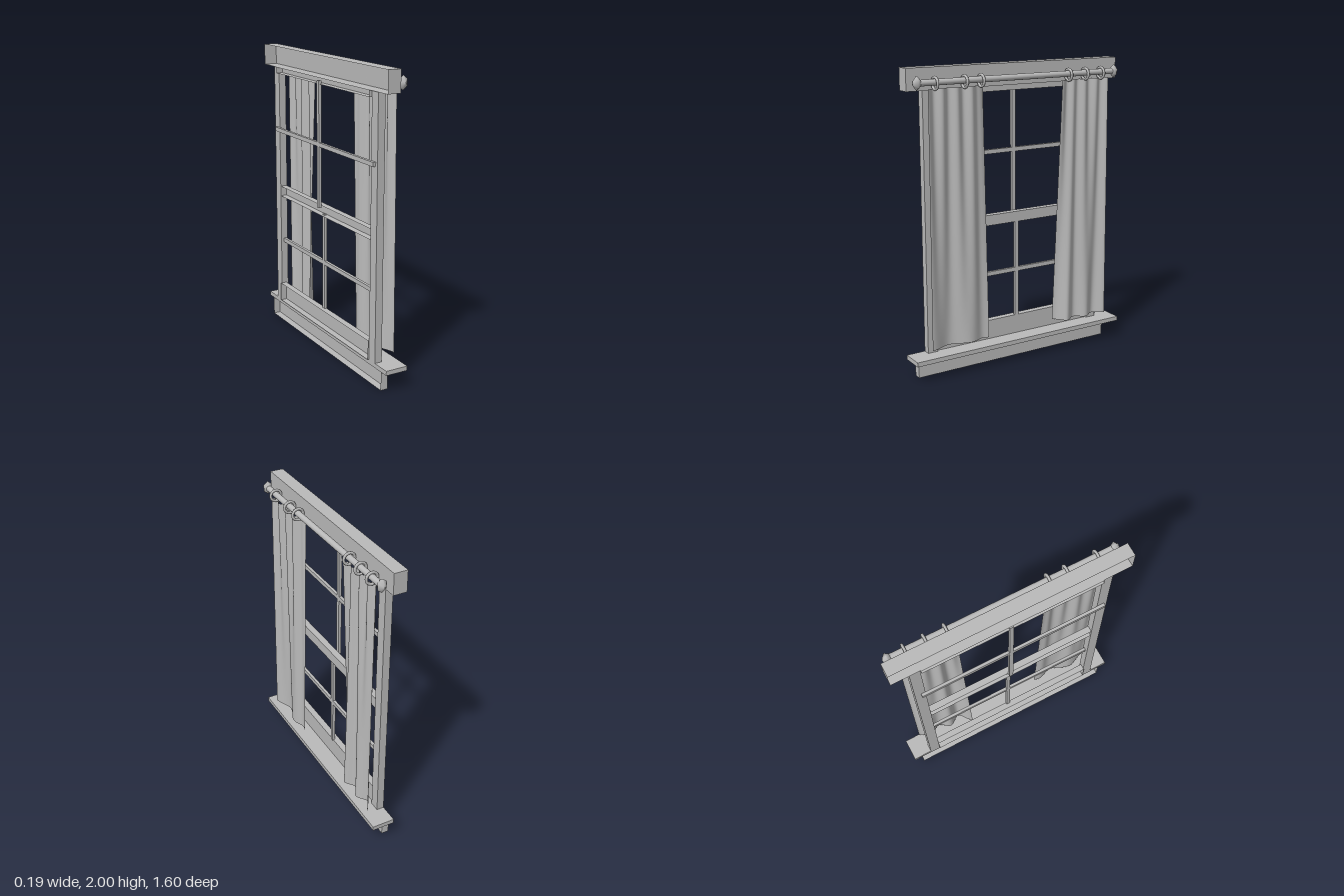
import * as THREE from 'three';

export function createModel() {
  const model = new THREE.Group();
  model.name = 'curtainedWindow';
  const grey = new THREE.MeshStandardMaterial({ color: 0xbababa, side: THREE.DoubleSide });
  grey.name = 'plain grey';

  const add = (name, geometry) => {
    const mesh = new THREE.Mesh(geometry, grey);
    mesh.name = name;
    model.add(mesh);
    return mesh;
  };

  // Box given by its limits; openBack leaves out the face towards -x
  const box = (name, [x0, x1], [y0, y1], [z0, z1], openBack = false) => {
    const g = new THREE.BoxGeometry(x1 - x0, y1 - y0, z1 - z0);
    if (openBack) {
      const index = Array.from(g.index.array);
      index.splice(6, 6);
      g.setIndex(index);
      g.clearGroups();
    }
    g.translate((x0 + x1) / 2, (y0 + y1) / 2, (z0 + z1) / 2);
    return add(name, g);
  };

  // Frame
  box('header', [-0.09, 0], [1.86, 2], [-0.79, 0.79], true);
  box('sill', [-0.075, 0.08], [0.125, 0.155], [-0.8, 0.8]);
  box('apron', [-0.075, -0.025], [0, 0.125], [-0.74, 0.74], true);
  box('leftJamb', [-0.075, -0.025], [0.155, 1.86], [0.6, 0.67]);
  box('rightJamb', [-0.075, -0.025], [0.155, 1.86], [-0.67, -0.6]);

  // Upper sash, set further back
  box('upperTopRail', [-0.095, -0.05], [1.82, 1.86], [-0.6, 0.6], true);
  box('upperCrossBar', [-0.095, -0.075], [1.412, 1.44], [-0.63, 0.65]);
  box('upperUprightBar', [-0.095, -0.075], [1, 1.84], [-0.031, -0.004]);

  // Lower sash
  box('meetingRail', [-0.075, -0.03], [0.945, 1.015], [-0.6, 0.6], true);
  box('lowerCrossBar', [-0.055, -0.035], [0.598, 0.626], [-0.6, 0.6]);
  box('lowerUprightBar', [-0.055, -0.035], [0.28, 0.95], [-0.031, -0.004]);
  box('bottomRail', [-0.085, -0.04], [0.155, 0.285], [-0.6, 0.6], true);

  // Curtain rod with flattened, pointed ends
  const rodX = 0.045, rodY = 1.912;
  const rod = add('curtainRod', new THREE.CylinderGeometry(0.02, 0.02, 1.48, 16));
  rod.rotation.x = Math.PI / 2;
  rod.position.set(rodX, rodY, 0);
  const finialProfile = [[0.015, -0.02], [0.03, -0.012], [0.045, 0.008], [0.02, 0.028], [0, 0.035]]
    .map(([r, h]) => new THREE.Vector2(r, h));
  for (const side of [1, -1]) {
    const finial = add('rodFinial', new THREE.LatheGeometry(finialProfile, 6));
    finial.rotation.x = side * Math.PI / 2;
    finial.scale.x = 0.75;
    finial.position.set(rodX, rodY, side * 0.735);
  }

  // Curtain rings
  for (const z of [0.618, 0.413, 0.295, -0.37, -0.503, -0.632]) {
    const ring = add('curtainRing', new THREE.TorusGeometry(0.037, 0.009, 8, 24));
    ring.position.set(rodX, 1.905, z);
  }

  // Hanging cloth: u runs from the inner edge outwards. Tight pleats at the
  // top fade into broad, gentle folds, and the inner edge swings in or out.
  const { lerp, smoothstep } = THREE.MathUtils;
  const curtain = (name, topZ, bottomZ, edgeX, topFolds, bottomFolds) => {
    const g = new THREE.PlaneGeometry(1, 1, 72, 40);
    const p = g.attributes.position;
    for (let i = 0; i < p.count; i++) {
      const u = p.getX(i) + 0.5;
      const down = 0.5 - p.getY(i);
      const pleats = 0.014 * (1 - down) * Math.cos((1 - u) * topFolds * Math.PI * 2);
      const folds = 0.022 * down * Math.cos((1 - u) * bottomFolds * Math.PI * 2);
      const body = 0.038 + pleats + folds;
      const x = lerp(lerp(...edgeX, down), body, smoothstep(u, -0.05, 0.2));
      const z = lerp(lerp(topZ[0], bottomZ[0], down), lerp(topZ[1], bottomZ[1], down), u);
      p.setXYZ(i, x, 1.872 - 1.67 * down, z);
    }
    g.computeVertexNormals();
    add(name, g);
  };
  curtain('leftCurtain', [0.262, 0.67], [0.25, 0.68], [0, 0.045], 4, 1.5);
  curtain('rightCurtain', [-0.315, -0.69], [-0.295, -0.695], [0.055, -0.02], 4, 2.5);

  return model;
}
